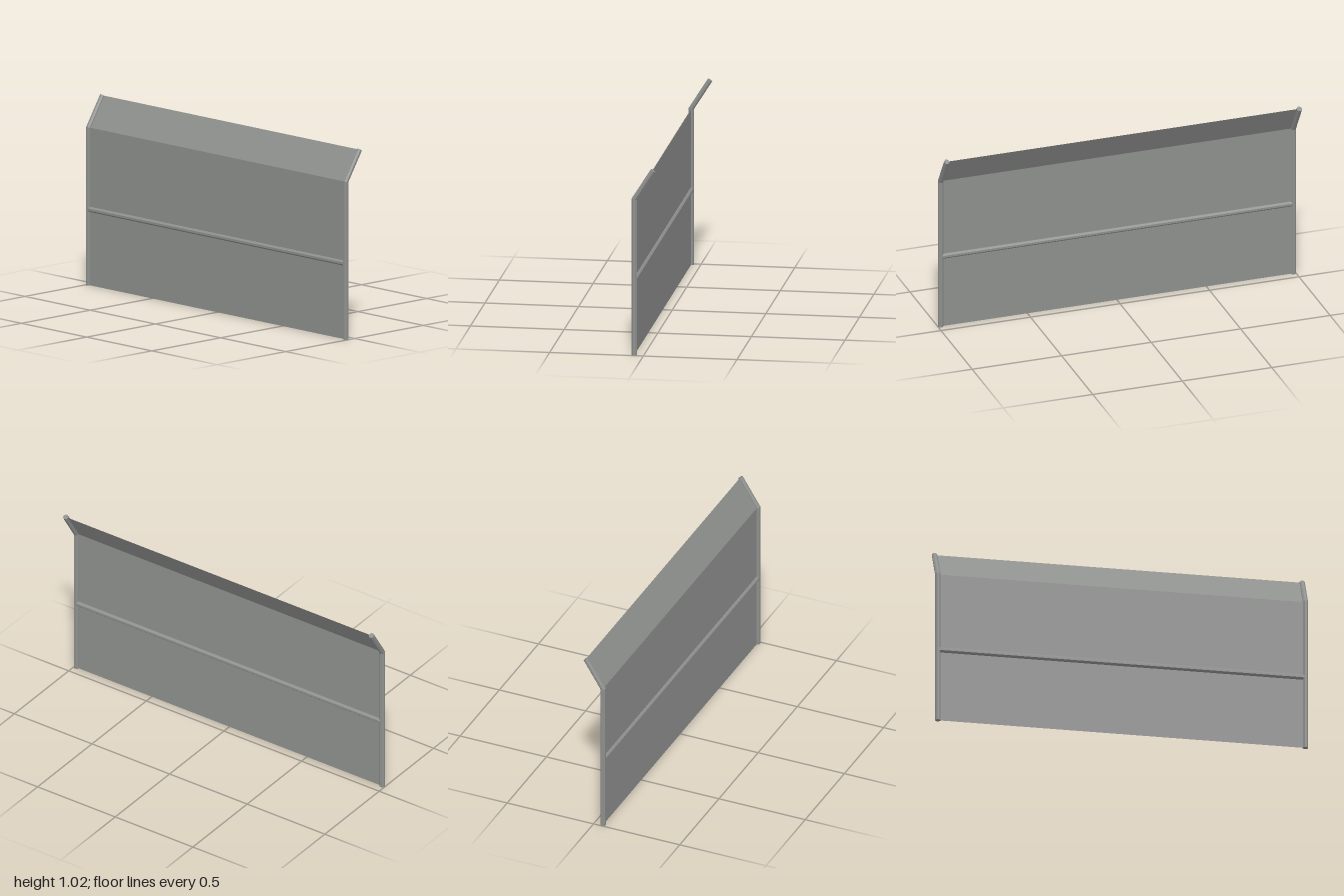
import * as THREE from 'three';

const RADIUS = 0.0148, SIDES = 8;
const POST_X = 0.985, FRONT_Z = 0.05, RAIL_Y = 0.41;
const BEND_Y = 0.849, TOP_Y = 1.008, TOP_Z = -0.05;
const TILT = Math.atan2(FRONT_Z - TOP_Z, TOP_Y - BEND_Y);

// Upright tube, mitred at the bend, with its top leaning back
function bentPostGeometry() {
  const g = new THREE.CylinderGeometry(RADIUS, RADIUS, 2, SIDES, 2);
  g.rotateY(Math.PI / SIDES);
  const p = g.attributes.position;
  for (let i = 0; i < p.count; i++) {
    const level = Math.round(p.getY(i)), o = p.getZ(i);
    if (level < 0) {
      p.setY(i, 0);
      p.setZ(i, FRONT_Z + o);
    } else if (level === 0) {
      p.setY(i, BEND_Y + o * Math.tan(TILT / 2));
      p.setZ(i, FRONT_Z + o);
    } else {
      p.setY(i, TOP_Y + o * Math.sin(TILT));
      p.setZ(i, TOP_Z + o * Math.cos(TILT));
    }
  }
  g.computeVertexNormals();
  return g;
}

export function createModel() {
  const model = new THREE.Group();
  model.name = 'bentFencePanel';

  const frameGrey = new THREE.MeshStandardMaterial({ color: 0x8e908e, flatShading: true });
  frameGrey.name = 'frame grey';
  const sheetGrey = new THREE.MeshStandardMaterial({ color: 0x8e908e, side: THREE.DoubleSide });
  sheetGrey.name = 'sheet grey';

  const add = (name, geometry, material) => {
    const mesh = new THREE.Mesh(geometry, material);
    mesh.name = name;
    model.add(mesh);
    return mesh;
  };

  // Posts at both ends
  const post = bentPostGeometry();
  add('leftPost', post, frameGrey).position.x = POST_X;
  add('rightPost', post, frameGrey).position.x = -POST_X;

  // Horizontal rail between the posts
  const rail = new THREE.CylinderGeometry(RADIUS, RADIUS, 2 * POST_X, SIDES, 1, true);
  rail.rotateY(Math.PI / SIDES).rotateZ(Math.PI / 2);
  add('middleRail', rail, frameGrey).position.set(0, RAIL_Y, FRONT_Z);

  // Upright sheet and the sheet leaning back above it
  const lower = new THREE.PlaneGeometry(2 * POST_X, BEND_Y);
  add('uprightSheet', lower, sheetGrey).position.set(0, BEND_Y / 2, FRONT_Z);

  const slope = Math.hypot(TOP_Y - BEND_Y, FRONT_Z - TOP_Z);
  const upper = add('slopedSheet', new THREE.PlaneGeometry(2 * POST_X, slope), sheetGrey);
  upper.rotation.x = -TILT;
  upper.position.set(0, (BEND_Y + TOP_Y) / 2, (FRONT_Z + TOP_Z) / 2);

  return model;
}
